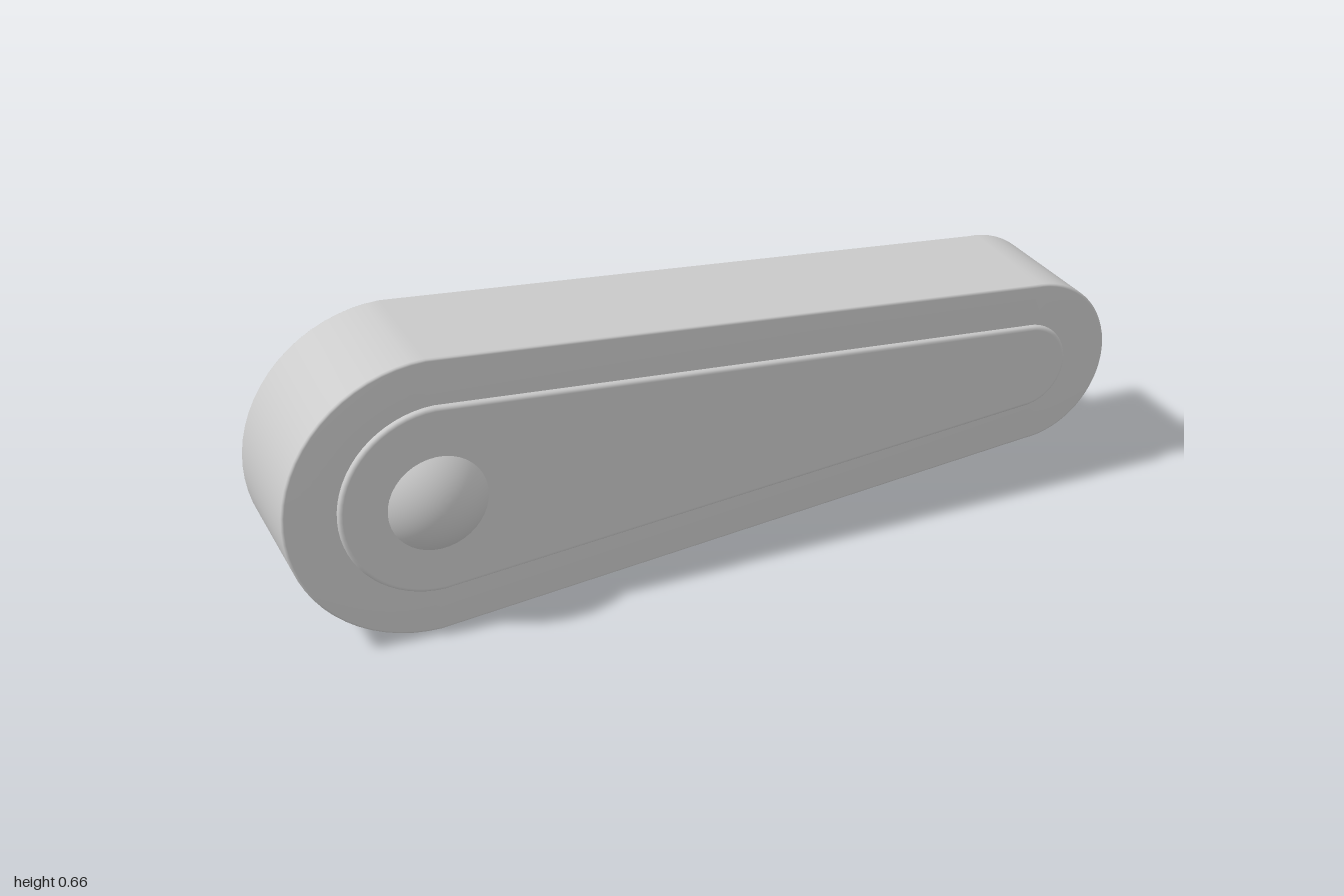
import * as THREE from 'three';

const material = new THREE.MeshStandardMaterial({ color: 0xcccccc });
const CY = 0.33;
const ARC = 32;

// Tapered capsule outline: big half circle on -x, small half circle on +x, counterclockwise
function outline(bigX, bigR, smallX, smallR) {
  const pts = [];
  for (const [cx, r, start] of [[smallX, smallR, -Math.PI / 2], [bigX, bigR, Math.PI / 2]]) {
    for (let i = 0; i <= ARC; i++) {
      const a = start + (i / ARC) * Math.PI;
      pts.push([cx + r * Math.cos(a), CY + r * Math.sin(a)]);
    }
  }
  return pts;
}

// Closed solid through [inset, z] rings listed from back to front
function loftCapsule(name, bigX, bigR, smallX, smallR, rings) {
  const pos = [], idx = [];
  const n = 2 * (ARC + 1);
  for (const [inset, z] of rings) {
    for (const [x, y] of outline(bigX, bigR - inset, smallX, smallR - inset)) pos.push(x, y, z);
  }
  for (let i = 0; i < rings.length - 1; i++) {
    for (let j = 0; j < n; j++) {
      const k = (j + 1) % n;
      const a = i * n + j, b = i * n + k, c = b + n, d = a + n;
      idx.push(a, b, c, a, c, d);
    }
  }
  // Flat end caps
  const last = (rings.length - 1) * n;
  const back = rings.length * n, front = back + 1;
  pos.push(0, CY, rings[0][1], 0, CY, rings[rings.length - 1][1]);
  for (let j = 0; j < n; j++) {
    const k = (j + 1) % n;
    idx.push(back, k, j, front, last + j, last + k);
  }
  const geo = new THREE.BufferGeometry();
  geo.setAttribute('position', new THREE.Float32BufferAttribute(pos, 3));
  geo.setIndex(idx);
  geo.computeVertexNormals();
  const mesh = new THREE.Mesh(geo, material);
  mesh.name = name;
  return mesh;
}

export function createModel() {
  const group = new THREE.Group();
  group.name = 'taperedArm';

  // Main body with fine bevels and slightly sloping faces
  group.add(loftCapsule('body', -0.67, 0.33, 0.798, 0.202, [
    [0.11, -0.122], [0.006, -0.116], [0.002, -0.114], [0, -0.11],
    [0, 0.188], [0.002, 0.192], [0.006, 0.193], [0.1, 0.196],
  ]));

  // Raised plate on the front, rounded at its rim
  group.add(loftCapsule('frontPlate', -0.66, 0.223, 0.78, 0.105, [
    [0, 0.18], [0, 0.198], [0.002, 0.203], [0.005, 0.206], [0.01, 0.207],
  ]));

  // Narrower block behind the body
  group.add(loftCapsule('backBlock', -0.66, 0.22, 0.78, 0.102, [
    [0.004, -0.255], [0.001, -0.254], [0, -0.251], [0, -0.11],
  ]));

  // Shallow domed button at the wide end
  const radius = 0.113, height = 0.05;
  const sphereR = (radius * radius + height * height) / (2 * height);
  const cap = new THREE.SphereGeometry(sphereR, 40, 12, 0, Math.PI * 2, 0, Math.asin(radius / sphereR));
  cap.translate(0, height - sphereR, 0);
  cap.rotateX(Math.PI / 2);
  const button = new THREE.Mesh(cap, material);
  button.name = 'button';
  button.position.set(-0.665, 0.325, 0.206);
  group.add(button);

  return group;
}
